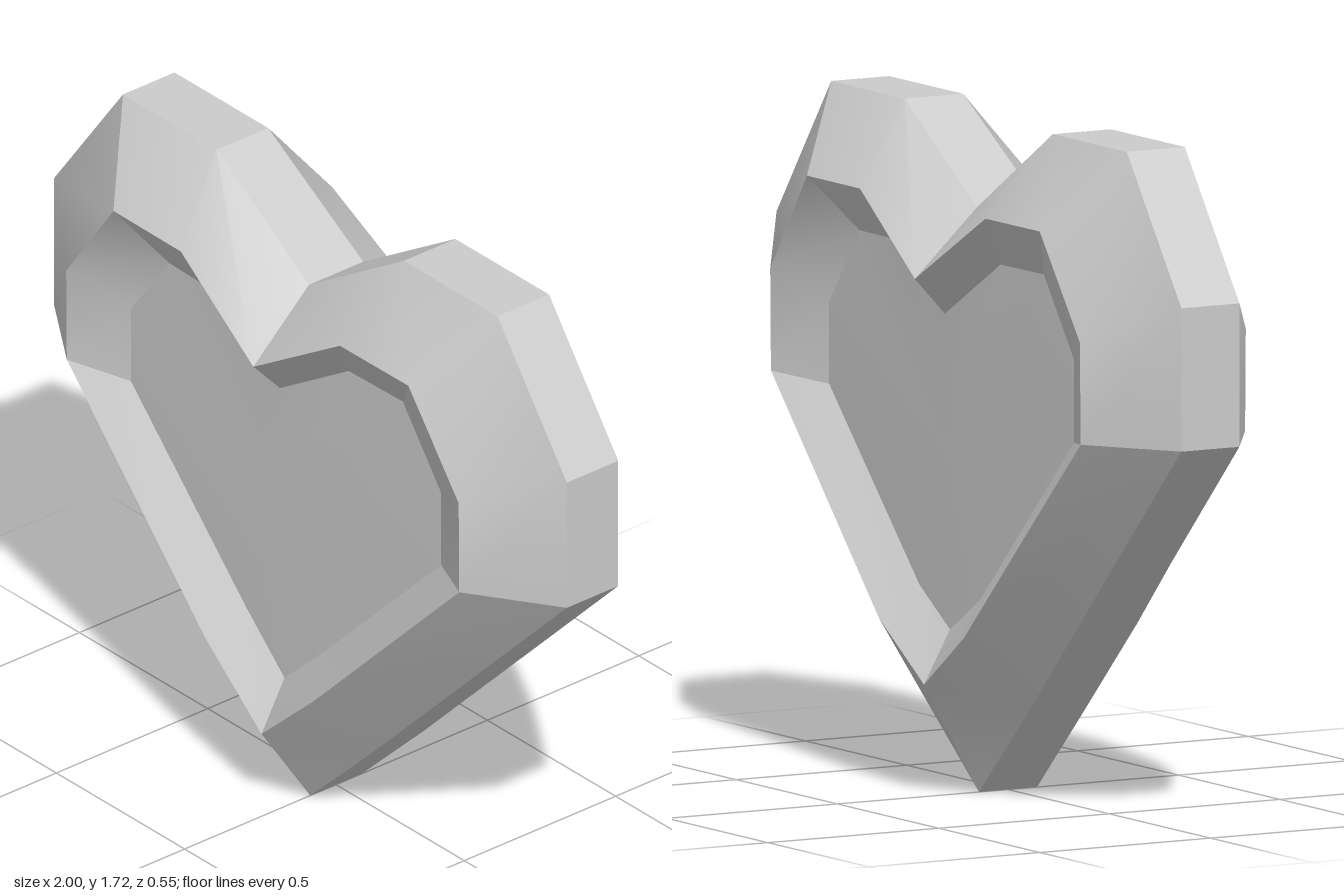
import * as THREE from 'three';
import { toCreasedNormals } from 'three/addons/utils/BufferGeometryUtils.js';

const CREASE = 0.44;

// Half outlines [x, y, z] from the top notch round the left lobe to the bottom tip
const rim = [[0, 1.49, 0.09], [0.365, 1.72, 0.085], [0.73, 1.72, 0.085], [1, 1.355, 0.085],
  [1, 0.99, 0.085], [0.24, 0.23, 0.085], [0, 0, 0.085]];
const ridge = [[0, 1.32, 0.273], [0.31, 1.51, 0.25], [0.575, 1.51, 0.248], [0.765, 1.25, 0.243],
  [0.765, 0.99, 0.241], [0.21, 0.43, 0.254], [0, 0.24, 0.246]];
const recess = [[0, 1.225, 0.185], [0.25, 1.38, 0.17], [0.455, 1.38, 0.165], [0.605, 1.18, 0.165],
  [0.605, 0.97, 0.165], [0.15, 0.515, 0.17], [0, 0.375, 0.17]];

// The tips of the back loops sit a little higher than those of the front
const raiseTip = (half, dy) => half.map(([x, y, z], i) => [x, i === half.length - 1 ? y + dy : y, z]);

// Mirror a half outline into a closed loop on the front (side 1) or back (side -1)
function loop(half, side) {
  const mirrored = half.slice(1, -1).reverse().map(([x, y, z]) => [-x, y, z]);
  return [...half, ...mirrored].map(([x, y, z]) => [x, y, z * side]);
}

function build(name, points, index, material) {
  const geometry = new THREE.BufferGeometry();
  geometry.setAttribute('position', new THREE.Float32BufferAttribute(points.flat(), 3));
  geometry.setIndex(index);
  const mesh = new THREE.Mesh(toCreasedNormals(geometry, CREASE), material);
  mesh.name = name;
  return mesh;
}

// Faceted frame skinned through loops running from back to front
function frame(loops, material) {
  const n = loops[0].length;
  const index = [];
  for (let r = 0; r < loops.length - 1; r++) {
    for (let i = 0; i < n; i++) {
      const j = (i + 1) % n;
      const a = r * n + i, b = r * n + j, c = a + n, d = b + n;
      index.push(a, c, d, a, d, b);
    }
  }
  return build('bevelledFrame', loops.flat(), index, material);
}

// Recessed panel fanned out from its middle
function panel(name, ring, side, material) {
  const n = ring.length;
  const index = [];
  for (let i = 0; i < n; i++) {
    const j = (i + 1) % n;
    index.push(n, ...(side > 0 ? [j, i] : [i, j]));
  }
  return build(name, [...ring, [0, 0.88, 0.178 * side]], index, material);
}

export function createModel() {
  const group = new THREE.Group();
  group.name = 'heart';
  const material = new THREE.MeshStandardMaterial({ color: 0xcccccc });

  const front = [rim, ridge, recess].map((half) => loop(half, 1));
  const back = [recess, ridge, rim].map((half) => loop(half === rim ? half : raiseTip(half, 0.045), -1));

  group.add(
    frame([...back, ...front], material),
    panel('frontPanel', front[2], 1, material),
    panel('backPanel', back[0], -1, material),
  );
  return group;
}
